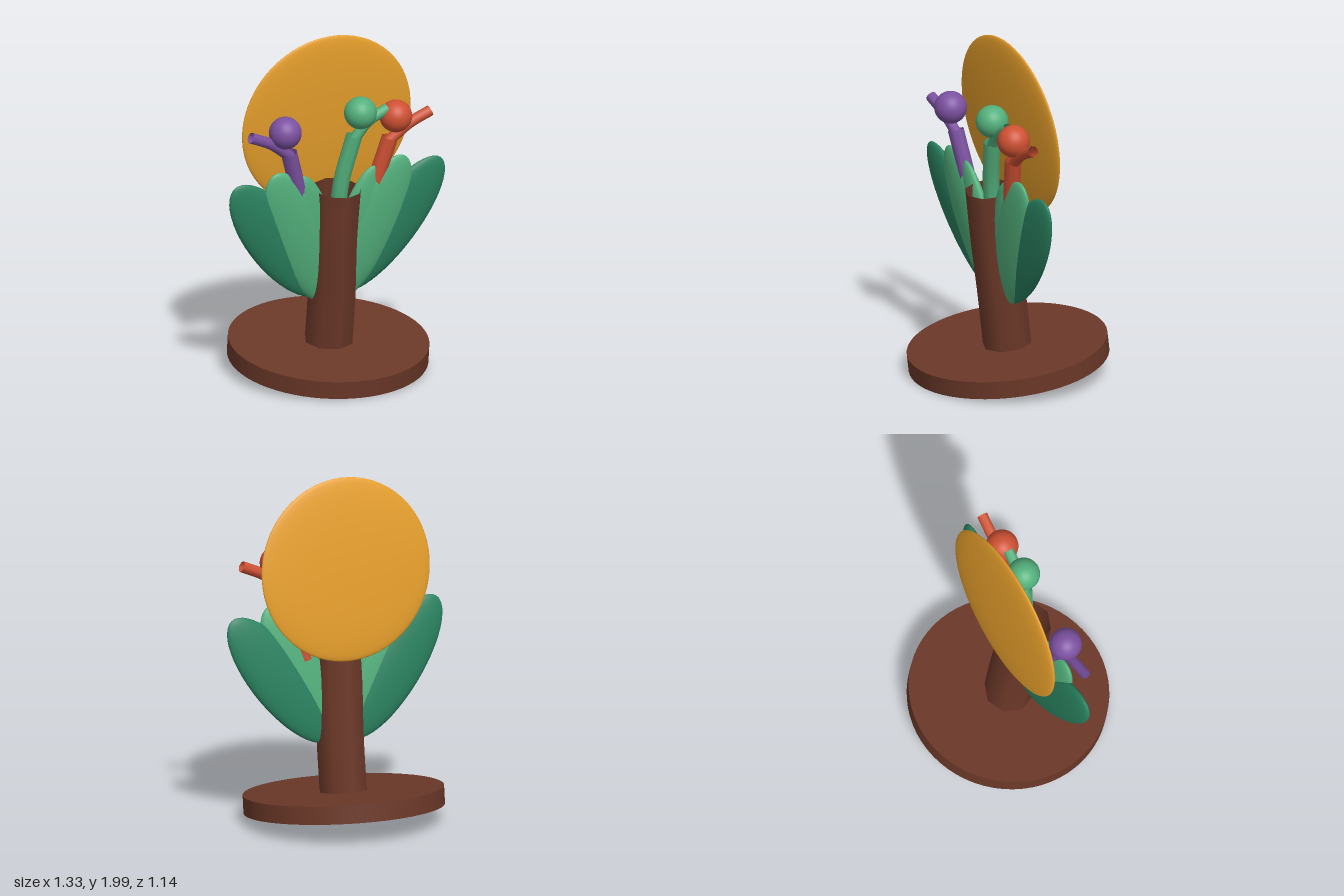
import * as THREE from 'three';

const mat = (color) => new THREE.MeshStandardMaterial({ color, side: THREE.DoubleSide });
const V = (x, y, z = 0) => new THREE.Vector3(x, y, z);

export function createModel() {
  const model = new THREE.Group();
  model.name = 'flowerSculpture';
  const brown = mat(0x6b3828), gold = mat(0xe8a02c), darkGreen = mat(0x2a8260);
  const lightGreen = mat(0x53b07c), purple = mat(0x7c51a1), red = mat(0xcf5133);

  const add = (name, geometry, material, x = 0, y = 0, z = 0) => {
    const mesh = new THREE.Mesh(geometry, material);
    mesh.name = name;
    mesh.position.set(x, y, z);
    model.add(mesh);
    return mesh;
  };
  const tube = (name, points, radius, material) =>
    add(name, new THREE.TubeGeometry(new THREE.CatmullRomCurve3(points), 16, radius, 8), material);

  // Round base and hollow, slightly bent trunk
  add('base', new THREE.CylinderGeometry(0.57, 0.57, 0.104, 64), brown);
  tube('trunk', [V(0, 0.02), V(0.003, 0.35), V(-0.006, 0.7), V(0, 0.995)], 0.142, brown);

  // Large flattened disc behind the trunk
  add('disc', new THREE.SphereGeometry(1, 64, 32), gold, 0, 1.338, -0.184).scale.set(0.525, 0.525, 0.042);

  // Mirrored fans of flattened leaves
  const leafShape = new THREE.SphereGeometry(1, 32, 24);
  const leaf = (name, side, x, y, z, tilt, size, material) => {
    const mesh = add(name, leafShape, material, side * x, y, z);
    mesh.scale.set(...size);
    mesh.rotation.z = -side * THREE.MathUtils.degToRad(tilt);
  };
  for (const [label, side] of [['left', 1], ['right', -1]]) {
    leaf(label + 'OuterLeaf', side, 0.352, 0.72, 0, 38, [0.175, 0.47, 0.05], darkGreen);
    leaf(label + 'MiddleLeaf', side, 0.205, 0.72, 0.012, 25, [0.175, 0.47, 0.055], lightGreen);
    leaf(label + 'InnerLeaf', side, 0.12, 0.7, 0.01, 15, [0.12, 0.42, 0.05], lightGreen);
  }

  // Three buds: thick stem, thin side arm and a ball
  const bud = (name, stem, arm, ball, material) => {
    tube(name + 'Stem', stem, 0.048, material);
    tube(name + 'Arm', arm, 0.032, material);
    add(name + 'Ball', new THREE.SphereGeometry(0.093, 32, 20), material, ball.x, ball.y, ball.z);
  };
  for (const [name, side, material] of [['redBud', 1, red], ['purpleBud', -1, purple]]) {
    bud(name,
      [V(side * 0.2, 0.82), V(side * 0.245, 1.02), V(side * 0.315, 1.265)],
      [V(side * 0.305, 1.24), V(side * 0.43, 1.335), V(side * 0.56, 1.395)],
      V(side * 0.345, 1.393), material);
  }
  bud('greenBud',
    [V(0.01, 0.8), V(0.025, 1.03), V(0.09, 1.31)],
    [V(0.08, 1.27), V(0.17, 1.385), V(0.29, 1.45)],
    V(0.121, 1.447), lightGreen);

  // The whole piece leans forward, with a slight turn
  model.rotation.set(0.123, -0.14, 0.019);
  model.position.set(0.015, 0.122, 0);
  const group = new THREE.Group();
  group.add(model);
  return group;
}
